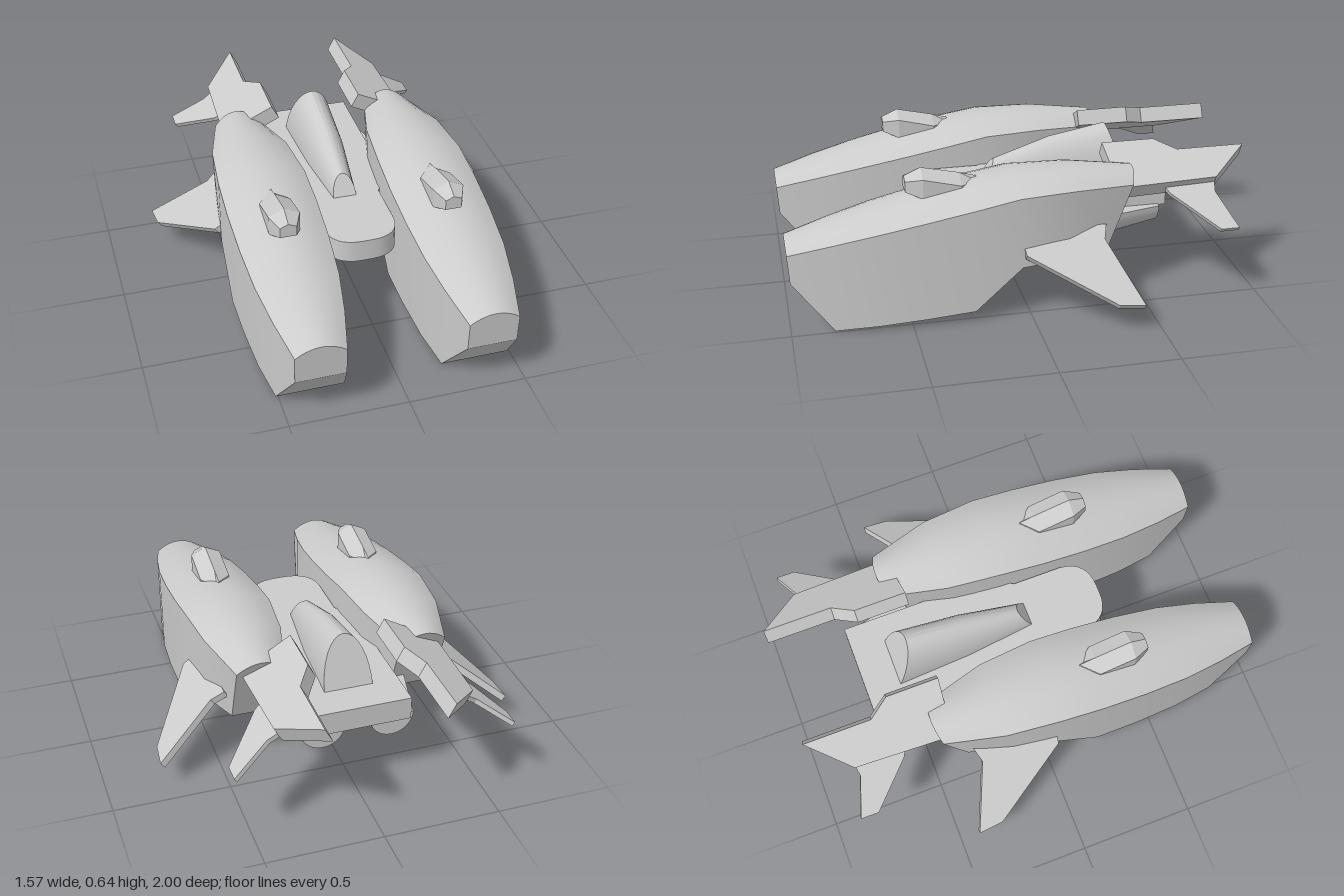
import * as THREE from 'three';
import { toCreasedNormals } from 'three/addons/utils/BufferGeometryUtils.js';

const CX = -0.01; // plane of symmetry
const material = new THREE.MeshStandardMaterial({ color: 0xcccccc });

function addMesh(group, name, geometry) {
  const mesh = new THREE.Mesh(geometry, material);
  mesh.name = name;
  mesh.position.x = CX;
  group.add(mesh);
}

// Skin over matching counter-clockwise loops, ordered front to back, capped at both ends
function loft(sections, crease = 0.4) {
  const n = sections[0].length;
  const index = [];
  for (let i = 0; i < sections.length - 1; i++) {
    for (let j = 0; j < n; j++) {
      const a = i * n + j, b = i * n + (j + 1) % n;
      index.push(a, a + n, b, b, a + n, b + n);
    }
  }
  const last = (sections.length - 1) * n;
  for (let j = 1; j < n - 1; j++) {
    index.push(0, j, j + 1, last, last + j + 1, last + j);
  }
  const geometry = new THREE.BufferGeometry();
  geometry.setAttribute('position', new THREE.Float32BufferAttribute(sections.flat(2), 3));
  geometry.setIndex(index);
  return toCreasedNormals(geometry.toNonIndexed(), crease);
}

// Tilted flat plate: plan outline [x, z], hinged at (ox, oy) and sloping down outwards
function plate(side, outline, ox, oy, angle, thickness) {
  const pts = outline.map(([x, z]) => new THREE.Vector2(side * (x - ox) / Math.cos(angle), -z));
  const geometry = new THREE.ExtrudeGeometry(new THREE.Shape(pts), { depth: thickness, bevelEnabled: false });
  geometry.translate(0, 0, -thickness);
  geometry.rotateX(-Math.PI / 2);
  geometry.rotateZ(-side * angle);
  geometry.translate(side * ox, oy, 0);
  return geometry;
}

// Hull section: straight sides with a shallow arched top
function hullSection([zBottom, zTop, w, yb, yc, yt]) {
  const loop = [[-w, yb, zBottom], [w, yb, zBottom]];
  for (let k = 0; k <= 10; k++) {
    const t = 1 - k / 5;
    const y = yc + (yt - yc) * (1 - t * t);
    loop.push([w * t, y, zBottom + (zTop - zBottom) * (y - yb) / (yt - yb)]);
  }
  return loop;
}

// Round arch standing on a flat base, leaning from zBottom to zTop
function archSection([zBottom, zTop, w, yb, yt]) {
  const loop = [];
  for (let k = 0; k <= 16; k++) {
    const a = Math.PI * k / 16, s = Math.sin(a);
    loop.push([w * Math.cos(a), yb + (yt - yb) * s, zBottom + (zTop - zBottom) * s]);
  }
  return loop;
}

// Lower half of a round section
function bowlSection(cx, cy, r, z) {
  const loop = [];
  for (let k = 0; k <= 16; k++) {
    const a = Math.PI * (1 + k / 16);
    loop.push([cx + r * Math.cos(a), cy + r * Math.sin(a), z]);
  }
  return loop;
}

export function createModel() {
  const model = new THREE.Group();
  model.name = 'twinHullShip';

  // Hull stations: z at bottom, z at top, half width, bottom, side edge, top
  const hullStations = [
    [0.99, 1.0, 0.105, 0.215, 0.34, 0.38],
    [0.82, 0.82, 0.145, 0.0, 0.385, 0.435],
    [0.64, 0.64, 0.174, 0.016, 0.427, 0.482],
    [0.44, 0.44, 0.188, 0.033, 0.467, 0.53],
    [0.24, 0.24, 0.193, 0.05, 0.505, 0.57],
    [0.04, 0.05, 0.19, 0.23, 0.54, 0.597],
    [-0.15, -0.2, 0.167, 0.237, 0.543, 0.597],
    [-0.35, -0.47, 0.1, 0.25, 0.52, 0.57],
  ];
  // Dorsal pod stations: z, half width, bottom, shoulder, ridge
  const podStations = [
    [0.5, 0.035, 0.545, 0.59, 0.605],
    [0.43, 0.066, 0.52, 0.605, 0.636],
    [0.27, 0.066, 0.5, 0.565, 0.6],
    [0.2, 0.01, 0.5, 0.56, 0.58],
  ];

  for (const side of [1, -1]) {
    const prefix = side > 0 ? 'left' : 'right';

    addMesh(model, prefix + 'Hull', loft(hullStations.map(hullSection)).translate(side * 0.355, 0, 0));

    const pod = podStations.map(([z, w, yb, ys, yt]) =>
      [[-w, yb, z], [w, yb, z], [w, ys, z], [0, yt, z], [-w, ys, z]]);
    addMesh(model, prefix + 'DorsalPod', loft(pod, 0.1).translate(side * 0.352, 0, 0));

    addMesh(model, prefix + 'Wing', plate(side,
      [[0.48, 0.04], [0.57, 0.03], [0.775, -0.31], [0.785, -0.42], [0.535, -0.31], [0.48, -0.33]],
      0.5, 0.35, 0.66, 0.03));

    addMesh(model, prefix + 'TailBoom', plate(side,
      [[0.205, -0.38], [0.205, -0.61], [0.266, -0.7], [0.266, -1.0], [0.415, -0.83], [0.43, -0.4]],
      0.205, 0.62, 0.49, 0.07));

    addMesh(model, prefix + 'TailFin', plate(side,
      [[0.39, -0.6], [0.43, -0.62], [0.59, -0.8], [0.59, -0.88], [0.44, -0.82], [0.39, -0.83]],
      0.4, 0.48, 0.62, 0.02));

    // Tapered engine housing under the deck
    addMesh(model, prefix + 'Engine', loft([
      bowlSection(side * 0.195, 0.315, 0.16, -0.17),
      bowlSection(side * 0.15, 0.315, 0.095, -0.64),
    ]));
  }

  // Deck joining the hulls, with a rounded front
  const deck = new THREE.Shape();
  deck.moveTo(-0.22, 0.675);
  deck.lineTo(0.22, 0.675);
  deck.lineTo(0.22, 0);
  deck.lineTo(0.155, -0.1);
  deck.lineTo(0.155, -0.32);
  deck.quadraticCurveTo(0.145, -0.44, 0.02, -0.44);
  deck.lineTo(-0.02, -0.44);
  deck.quadraticCurveTo(-0.145, -0.44, -0.155, -0.32);
  deck.lineTo(-0.155, -0.1);
  deck.lineTo(-0.22, 0);
  const deckGeometry = new THREE.ExtrudeGeometry(deck, { depth: 0.1, bevelEnabled: false, curveSegments: 8 });
  deckGeometry.rotateX(-Math.PI / 2).translate(0, 0.31, 0);
  addMesh(model, 'deck', toCreasedNormals(deckGeometry, 0.4));

  // Tapered canopy with leaning ends
  addMesh(model, 'canopy', loft([
    [0.11, 0.055, 0.052, 0.4, 0.5],
    [-0.2, -0.2, 0.088, 0.4, 0.585],
    [-0.53, -0.45, 0.106, 0.4, 0.63],
  ].map(archSection)));

  return model;
}
